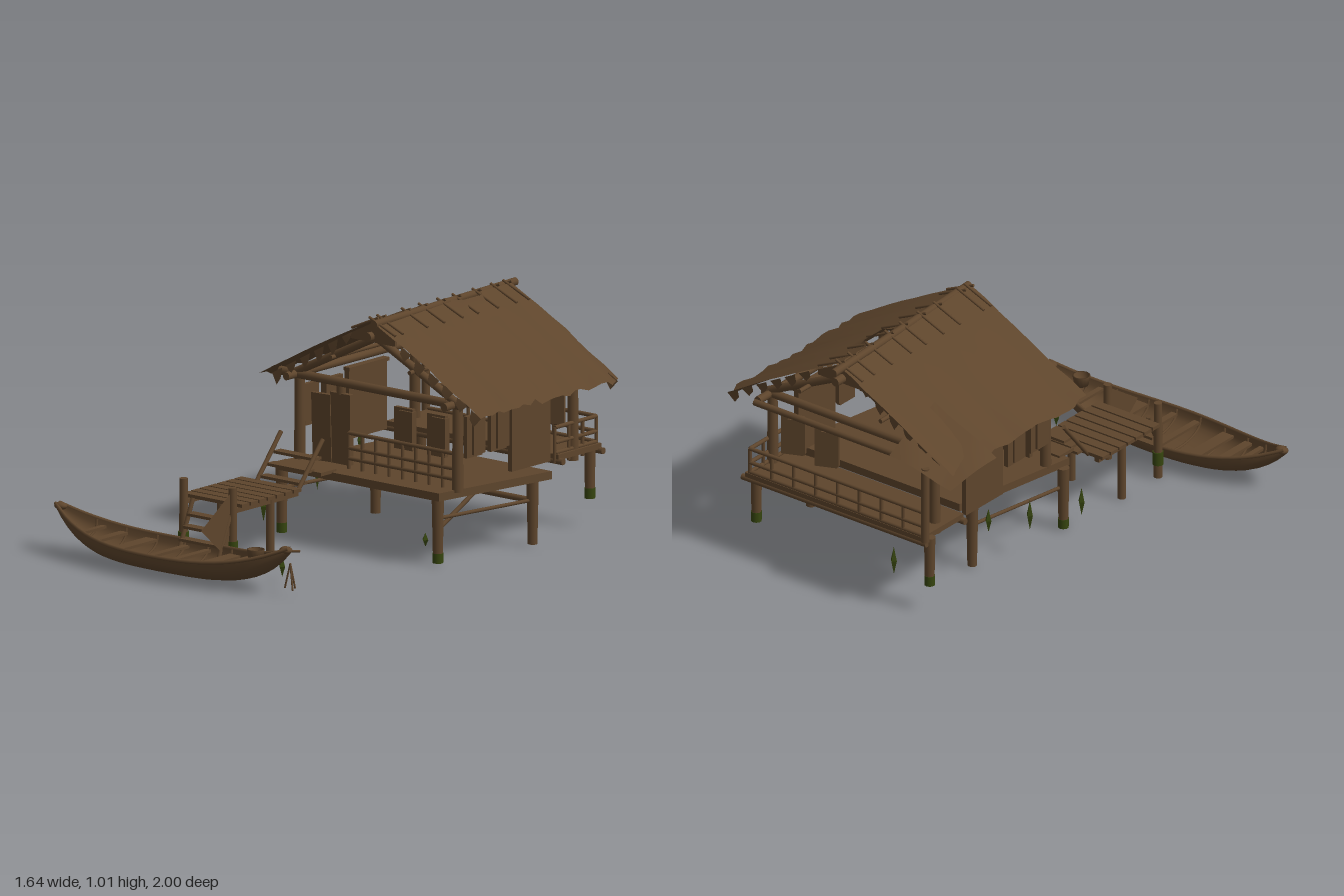
import * as THREE from 'three';

const wood = new THREE.MeshStandardMaterial({ color: 0x5e452c });
wood.name = 'brownWood';
const sheet = new THREE.MeshStandardMaterial({ color: 0x5e452c, side: THREE.DoubleSide });
sheet.name = 'brownSheet';
const moss = new THREE.MeshStandardMaterial({ color: 0x36450f });
moss.name = 'mossGreen';

const V = (a) => new THREE.Vector3(...a);
const noise = (n) => { const s = Math.sin(n * 127.1) * 43758.5; return s - Math.floor(s) - 0.5; };

export function createModel() {
  const model = new THREE.Group();
  const add = (name, geo, mat = wood) => {
    const m = new THREE.Mesh(geo, mat);
    m.name = name;
    model.add(m);
    return m;
  };
  // Box given by its min and max corners
  const box = (name, x0, x1, y0, y1, z0, z1) => {
    const m = add(name, new THREE.BoxGeometry(x1 - x0, y1 - y0, z1 - z0));
    m.position.set((x0 + x1) / 2, (y0 + y1) / 2, (z0 + z1) / 2);
    return m;
  };
  // Round pole from a to b
  const pole = (name, a, b, r = 0.015, r2 = r, mat = wood) => {
    const d = V(b).sub(V(a));
    const m = add(name, new THREE.CylinderGeometry(r2, r, d.length(), 10), mat);
    m.position.copy(V(a)).addScaledVector(d, 0.5);
    m.quaternion.setFromUnitVectors(new THREE.Vector3(0, 1, 0), d.normalize());
    return m;
  };
  // Open surface from a rule f(u, v) -> [x, y, z]
  const surface = (name, nu, nv, f) => {
    const g = new THREE.PlaneGeometry(1, 1, nu, nv), p = g.attributes.position;
    for (let j = 0, k = 0; j <= nv; j++)
      for (let i = 0; i <= nu; i++, k++) p.setXYZ(k, ...f(i / nu, j / nv));
    g.computeVertexNormals();
    return add(name, g, sheet);
  };

  // Main floor leaning sideways in plan, with its stilts and bracing
  box('mainFloor', -0.23, 0.67, 0.285, 0.32, -0.585, 0.03).geometry
    .applyMatrix4(new THREE.Matrix4().makeShear(0, 0, 0, 0, -0.165, 0));
  box('doorstep', -0.25, 0.03, 0.315, 0.33, 0.0, 0.1);
  for (const [x, z] of [[0.58, -0.01], [0.67, -0.52], [-0.28, -0.01], [-0.195, -0.52]])
    pole('stilt', [x, 0.01, z], [x, 0.29, z], 0.021, 0.027);
  for (const x of [0.58, -0.28])
    pole('stiltMoss', [x, 0.008, -0.01], [x, 0.05, -0.01], 0.0235, 0.0235, moss);
  pole('lowerBeam', [-0.2, 0.2, -0.51], [0.67, 0.2, -0.51], 0.013);
  for (const [x0, x1] of [[0.58, 0.67], [-0.28, -0.195]])
    pole('sideBeam', [x0, 0.2, 0], [x1, 0.2, -0.52], 0.008);
  pole('brace', [0.58, 0.16, -0.03], [0.6, 0.28, -0.23], 0.01);

  // Back porch
  box('porchFloor', -0.29, 0.66, 0.335, 0.36, -0.98, -0.7);
  for (const z of [-0.71, -0.97]) pole('porchBeam', [-0.31, 0.33, z], [0.68, 0.33, z], 0.014);
  for (const x of [-0.3, 0.63]) {
    pole('porchStilt', [x, 0.13, -0.94], [x, 0.35, -0.94], 0.021, 0.025);
    pole('porchStiltMoss', [x, 0.125, -0.94], [x, 0.17, -0.94], 0.0235, 0.0235, moss);
  }
  pole('porchCornerPost', [-0.3, 0.34, -0.97], [-0.3, 0.69, -0.97], 0.018);

  // Railings
  const railing = (a, b, n) => {
    for (const y of [0.365, 0.41, 0.475])
      pole('rail', [a[0], y, a[1]], [b[0], y, b[1]], 0.009);
    for (let i = 0; i <= n; i++) {
      const t = i / n, x = a[0] + (b[0] - a[0]) * t, z = a[1] + (b[1] - a[1]) * t;
      pole('baluster', [x, 0.32, z], [x, 0.475, z], 0.008);
    }
  };
  railing([0.04, -0.07], [0.63, -0.07], 8);
  railing([-0.3, -0.97], [0.64, -0.97], 8);
  railing([0.64, -0.7], [0.64, -0.97], 3);

  // Corner posts, tie beams and roof frame
  for (const x of [-0.24, 0.63]) {
    for (const z of [-0.08, -0.83]) pole('cornerPost', [x, 0.31, z], [x, 0.69, z], 0.025, 0.022);
    pole('wallPlate', [x, 0.69, 0.01], [x, 0.69, -0.93], 0.018);
    pole('rafterPurlin', [(x + 0.2) / 2, 0.8, -0.02], [(x + 0.2) / 2, 0.8, -0.92], 0.01);
  }
  for (const z of [-0.06, -0.84]) {
    pole('tieBeam', [-0.33, 0.69, z], [0.67, 0.69, z], 0.019);
    for (const x of [-0.25, 0.65]) pole('rafter', [x, 0.695, z], [0.2, 0.915, z], 0.018);
  }
  pole('ridgeBeam', [0.2, 0.925, 0.0], [0.2, 0.925, -0.95], 0.02);
  const gable = new THREE.Shape([[-0.12, 0.9], [0.12, 0.9], [0.12, 0.925], [0, 0.985], [-0.12, 0.925]]
    .map(([x, y]) => new THREE.Vector2(x + 0.21, y)));
  for (const z of [-0.04, -0.9])
    add('gableCap', new THREE.ExtrudeGeometry(gable, { depth: 0.015, bevelEnabled: false })).position.z = z;

  // Thatch slopes with ragged eaves; the right one has a notch at the ridge
  const slope = (name, ridgeX, eaveX, seed) => surface(name, 8, 22, (u, v) => {
    const k = Math.round(v * 22) + seed, edge = u * u;
    const notch = u === 0 && seed > 50 && v > 0.58 && v < 0.76 ? 0.045 : 0;
    const z = -0.015 - 0.91 * v + (v === 0 || v === 1 ? 0.015 * noise(seed + u * 8) : 0);
    return [ridgeX + notch + (eaveX - ridgeX) * u + edge * 0.02 * noise(k),
      0.995 - 0.33 * u + 0.01 * Math.sin(u * Math.PI) + edge * 0.03 * noise(k * 1.7), z];
  });
  slope('leftThatch', 0.215, -0.41, 3);
  slope('rightThatch', 0.215, 0.805, 60);
  // Loose thatch tufts hanging at the gable ends
  for (const z of [-0.02, -0.91])
    for (let i = 0; i < 12; i++) {
      const s = i % 2 ? 1 : -1, u = 0.2 + 0.065 * i;
      const x = 0.215 + s * 0.59 * u, y = 0.995 - 0.33 * u;
      surface('thatchTuft', 1, 1, (a, b) => [x + s * 0.055 * a * (1 - 0.6 * b),
        y - 0.03 * a - (0.035 + 0.02 * noise(i)) * b, z + 0.01 * b]);
    }
  // Patch of roofing over the back corner
  surface('roofPatch', 5, 5, (u, v) => {
    const y = (0.675 + 0.16 * u) * (1 - v) + (0.65 + 0.06 * u) * v;
    return [-0.46 + 0.33 * u, y + 0.006 * Math.sin(u * 6 + v * 4), -0.69 - 0.31 * v];
  });
  pole('patchBeam', [-0.13, 0.69, -0.95], [0.63, 0.69, -0.95], 0.015);
  pole('ridgePole', [0.235, 0.985, 0.0], [0.185, 0.985, -0.98], 0.018);
  for (const z of [-0.03, -0.08, -0.24, -0.35, -0.47, -0.57, -0.7, -0.82, -0.9])
    for (const s of [-1, 1])
      pole('ridgeStick', [0.21 + s * 0.12, 0.945, z], [0.21 - s * 0.02, 1.007, z + 0.006 * s], 0.006);

  // Door leaves in the front and side wall lines
  box('door', -0.068, 0.04, 0.33, 0.635, -0.1, -0.075);
  box('doorLeaf', -0.165, -0.062, 0.33, 0.62, -0.09, -0.07).rotation.z = 0.03;
  pole('doorPost', [-0.02, 0.63, -0.09], [-0.02, 0.68, -0.09], 0.02);
  for (const x of [-0.27, 0.63]) {
    box('sideDoor', x - 0.012, x + 0.012, 0.335, 0.64, -0.67, -0.42);
    box('sideDoorLintel', x - 0.017, x + 0.017, 0.63, 0.645, -0.68, -0.42);
  }
  // Hanging shutters, each a wide and a narrow panel
  const shutter = (cx, cz, turn) => {
    const g = new THREE.Group();
    g.name = 'shutter';
    for (const [w, h, d, x] of [[0.1, 0.18, 0.02, 0], [0.075, 0.16, 0.03, 0.02]]) {
      const m = new THREE.Mesh(new THREE.BoxGeometry(w, h, d), wood);
      m.name = 'shutterPanel';
      m.position.set(x, 0, d / 2);
      g.add(m);
    }
    g.position.set(cx, 0.535, cz);
    g.rotation.y = turn;
    model.add(g);
  };
  for (const x of [0.33, 0.51]) {
    shutter(x, -0.1, 0);
    shutter(x, -0.84, Math.PI + 0.4);
  }
  for (const z of [-0.18, -0.335]) {
    shutter(0.62, z, Math.PI / 2);
    shutter(-0.26, z, -Math.PI / 2);
  }

  // Jetty with stairs up to the house and a ladder down to the boat
  for (let i = 0; i < 7; i++)
    box('jettyPlank', -0.335, -0.005, 0.26, 0.275, 0.187 + i * 0.0565, 0.234 + i * 0.0565);
  for (const x of [-0.3, -0.03]) {
    box('jettyBearer', x - 0.012, x + 0.012, 0.24, 0.26, 0.19, 0.6);
    pole('jettyPost', [x, 0, 0.36], [x, 0.265, 0.36], 0.018);
    pole('mooringPost', [x, 0, 0.605], [x, 0.35, 0.605], 0.02, 0.018);
    pole('mooringMoss', [x, 0.06, 0.605], [x, 0.12, 0.605], 0.024, 0.024, moss);
  }
  for (const x of [-0.25, -0.02]) {
    pole('stairRail', [x, 0.26, 0.195], [x, 0.455, 0.03], 0.01);
    pole('ladderRail', [x * 0.95 - 0.015, 0.27, 0.6], [x * 0.95 - 0.015, 0.06, 0.69], 0.01);
  }
  for (let i = 0; i < 3; i++) {
    box('stairTread', -0.245, -0.02, 0.28 + i * 0.045, 0.292 + i * 0.045, 0.13 - i * 0.045, 0.175 - i * 0.045);
    box('ladderTread', -0.255, -0.03, 0.2 - i * 0.05, 0.212 - i * 0.05, 0.595 + i * 0.025, 0.64 + i * 0.025);
  }
  const cloth = new THREE.Shape([[-0.6, 0.34], [-0.81, 0.2], [-0.64, 0.05]].map((p) => new THREE.Vector2(...p)));
  const side = add('ladderCloth', new THREE.ShapeGeometry(cloth), sheet);
  side.rotation.y = Math.PI / 2;
  side.position.x = -0.03;

  // Boat: hull swept along its length, rims, ribs and seats
  const cx = -0.17, cz = 0.825, L = 0.64;
  const half = (t) => 0.012 + 0.153 * (1 - Math.abs(t) ** 2.1);
  const rimY = (t) => 0.105 + 0.1 * Math.abs(t) ** 3;
  const keelY = (t) => 0.01 + 0.17 * t ** 4;
  const hullAt = (t, a, inset = 0) => [cx + L * t,
    rimY(t) - (rimY(t) - keelY(t) - inset) * Math.sin(a) ** 0.8,
    cz + Math.cos(a) * (half(t) - inset)];
  surface('hull', 28, 14, (u, v) => hullAt(u * 2 - 1, Math.PI * Math.min(v, 0.99999)));
  surface('hullLining', 28, 14, (u, v) => hullAt((u * 2 - 1) * 0.97, Math.PI * Math.min(v, 0.99999), 0.009));
  const tube = (name, pts, r) => add(name, new THREE.TubeGeometry(new THREE.CatmullRomCurve3(pts.map(V)), 24, r, 6));
  const steps = [...Array(13).keys()].map((i) => i / 6 - 1);
  for (const a of [0, Math.PI * 0.99999]) tube('rim', steps.map((t) => hullAt(t, a)), 0.008);
  for (const t of [-0.75, -0.55, -0.32, -0.1, 0.1, 0.32, 0.55, 0.75])
    tube('rib', [...Array(9).keys()].map((i) => hullAt(t, Math.PI * Math.min(i / 8, 0.99999), 0.011)), 0.006);
  for (const [x, w] of [[-0.62, 0.025], [-0.53, 0.04], [-0.4, 0.06], [-0.22, 0.03], [-0.1, 0.03], [0.06, 0.06], [0.16, 0.04], [0.25, 0.025]]) {
    const t = (x - cx) / L, h = half(t) * 0.88, y = rimY(t) - 0.03;
    box('seat', x - w / 2, x + w / 2, y, y + 0.012, cz - h, cz + h);
  }
  for (const t of [-1, 1]) {
    const end = add('prowKnob', new THREE.SphereGeometry(0.024, 10, 8));
    end.position.set(cx + t * (L - 0.02), 0.195, cz);
    end.scale.set(1.3, 0.7, 1);
  }
  // Bucket and a bundle of sticks
  const bucket = new THREE.LatheGeometry([[0.001, 0], [0.03, 0], [0.038, 0.045], [0.032, 0.045], [0.026, 0.008], [0.001, 0.008]]
    .map((p) => new THREE.Vector2(...p)), 14);
  add('bucket', bucket, sheet).position.set(0.305, 0.137, 0.85);
  for (const [x, z] of [[0.44, 0.82], [0.48, 0.8], [0.5, 0.84]])
    pole('stick', [x, 0.03, z], [0.47, 0.14, 0.82], 0.004);
  pole('prowHook', [0.44, 0.19, 0.83], [0.495, 0.19, 0.785], 0.005);

  // Hanging tufts of green
  for (const [x, y, z, h] of [[-0.33, 0.12, 0.05, 0.13], [-0.33, 0.29, -0.58, 0.11], [-0.33, 0.2, -0.3, 0.14],
    [0.52, 0.1, 0.0, 0.06], [0.29, 0.07, 0.66, 0.09], [-0.1, 0.17, -0.93, 0.13]]) {
    const tuft = add('hangingTuft', new THREE.OctahedronGeometry(0.5), moss);
    tuft.scale.set(0.032, h, 0.032);
    tuft.position.set(x, y, z);
  }
  return model;
}
